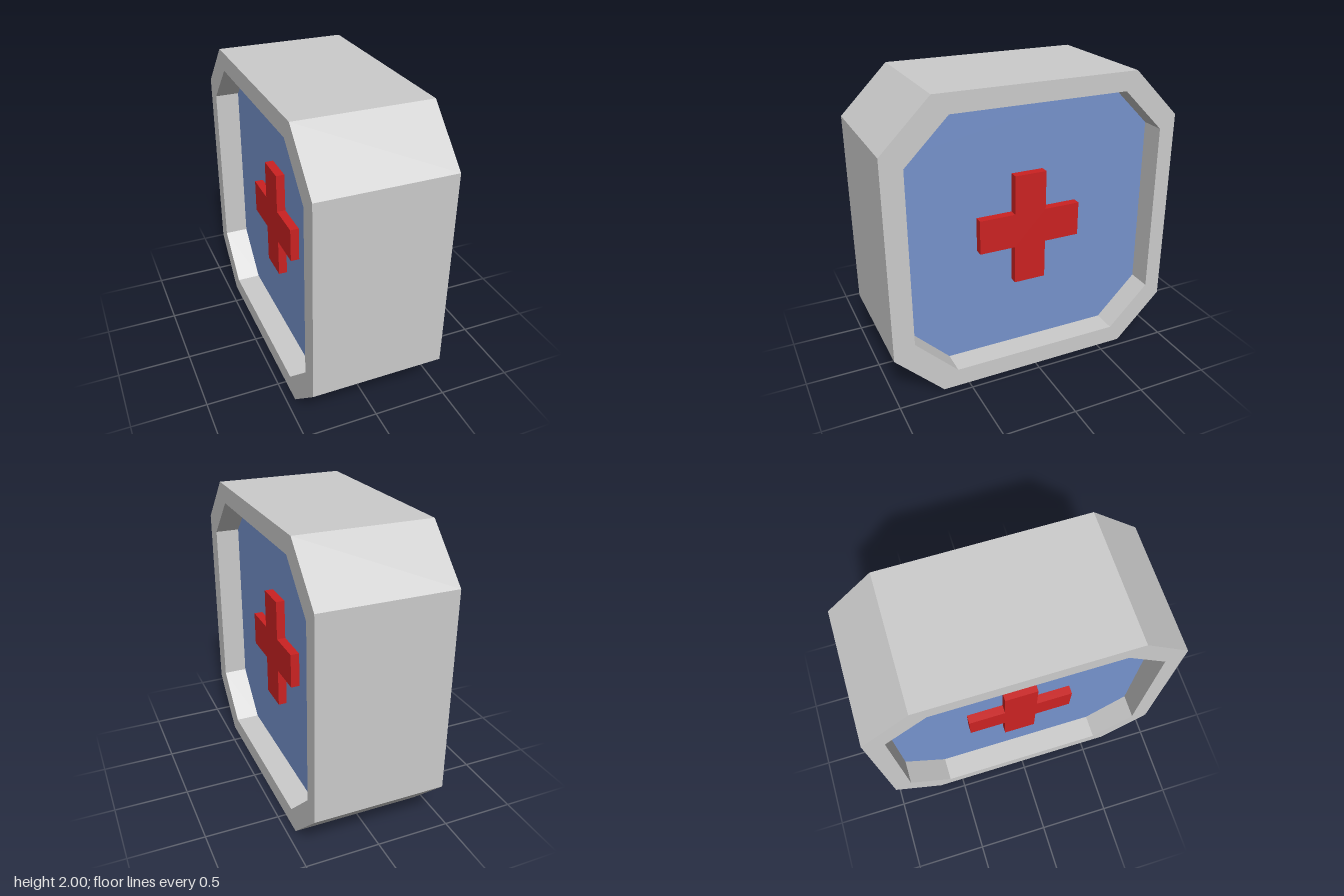
import * as THREE from 'three';

const HALF_WIDTH = 0.443; // outer rim position in x
const PANEL_X = 0.277; // depth of the recessed panels
const CROSS_DEPTH = 0.058;

// Chamfered square outline as [u, y] points, counter-clockwise seen from +x (u = -z)
function octagon(half, chamfer, shift = 0) {
  const c = half - chamfer;
  return [[half, -c], [half, c], [c, half], [-c, half], [-half, c], [-half, -c], [-c, -half], [c, -half]]
    .map(([u, y]) => [u + shift, y + 1]);
}

// Flat-shaded skin joining successive outlines, each placed at its own x
function skin(loops) {
  const positions = [];
  const push = ({ x, outline }, i) => {
    const [u, y] = outline[i % outline.length];
    positions.push(x, y, -u);
  };
  for (let k = 0; k < loops.length - 1; k++) {
    const a = loops[k], b = loops[k + 1];
    for (let i = 0; i < a.outline.length; i++) {
      push(a, i); push(a, i + 1); push(b, i + 1);
      push(a, i); push(b, i + 1); push(b, i);
    }
  }
  const geometry = new THREE.BufferGeometry();
  geometry.setAttribute('position', new THREE.Float32BufferAttribute(positions, 3));
  geometry.computeVertexNormals();
  return geometry;
}

const toShape = (points) => new THREE.Shape(points.map(([x, y]) => new THREE.Vector2(x, y)));

export function createModel() {
  const grey = new THREE.MeshStandardMaterial({ color: 0xcccccc });
  grey.name = 'casingGrey';
  const blue = new THREE.MeshStandardMaterial({ color: 0x7693cd });
  blue.name = 'panelBlue';
  const red = new THREE.MeshStandardMaterial({ color: 0xcc2222 });
  red.name = 'crossRed';

  const model = new THREE.Group();
  model.name = 'medicalBox';
  const add = (parent, name, geometry, material) => {
    const mesh = new THREE.Mesh(geometry, material);
    mesh.name = name;
    parent.add(mesh);
    return mesh;
  };

  // Casing: recess wall, rim, outer band, rim, recess wall
  const outer = octagon(1, 0.322);
  const openingLeft = octagon(0.874, 0.283, 0.015);
  const openingRight = octagon(0.874, 0.283);
  add(model, 'casing', skin([
    { x: -PANEL_X, outline: openingRight },
    { x: -HALF_WIDTH, outline: openingRight },
    { x: -HALF_WIDTH, outline: outer },
    { x: HALF_WIDTH, outline: outer },
    { x: HALF_WIDTH, outline: openingLeft },
    { x: PANEL_X, outline: openingLeft },
  ]), grey);

  // Raised cross outline
  const w = 0.11, h = 0.117, armU = 0.357, armY = 0.382;
  const cross = toShape([
    [w, -armY], [w, -h], [armU, -h], [armU, h], [w, h], [w, armY],
    [-w, armY], [-w, h], [-armU, h], [-armU, -h], [-w, -h], [-w, -armY],
  ].map(([u, y]) => [u, y + 1.003]));

  // Recessed panel and cross on each side, facing outward
  for (const [label, side, opening] of [['left', 1, openingLeft], ['right', -1, openingRight]]) {
    const face = new THREE.Group();
    face.name = label + 'Face';
    face.rotation.y = side * Math.PI / 2;
    face.position.x = side * PANEL_X;
    add(face, label + 'Panel', new THREE.ShapeGeometry(toShape(opening)), blue);
    add(face, label + 'Cross', new THREE.ExtrudeGeometry(cross, { depth: CROSS_DEPTH, bevelEnabled: false }), red);
    model.add(face);
  }
  return model;
}
